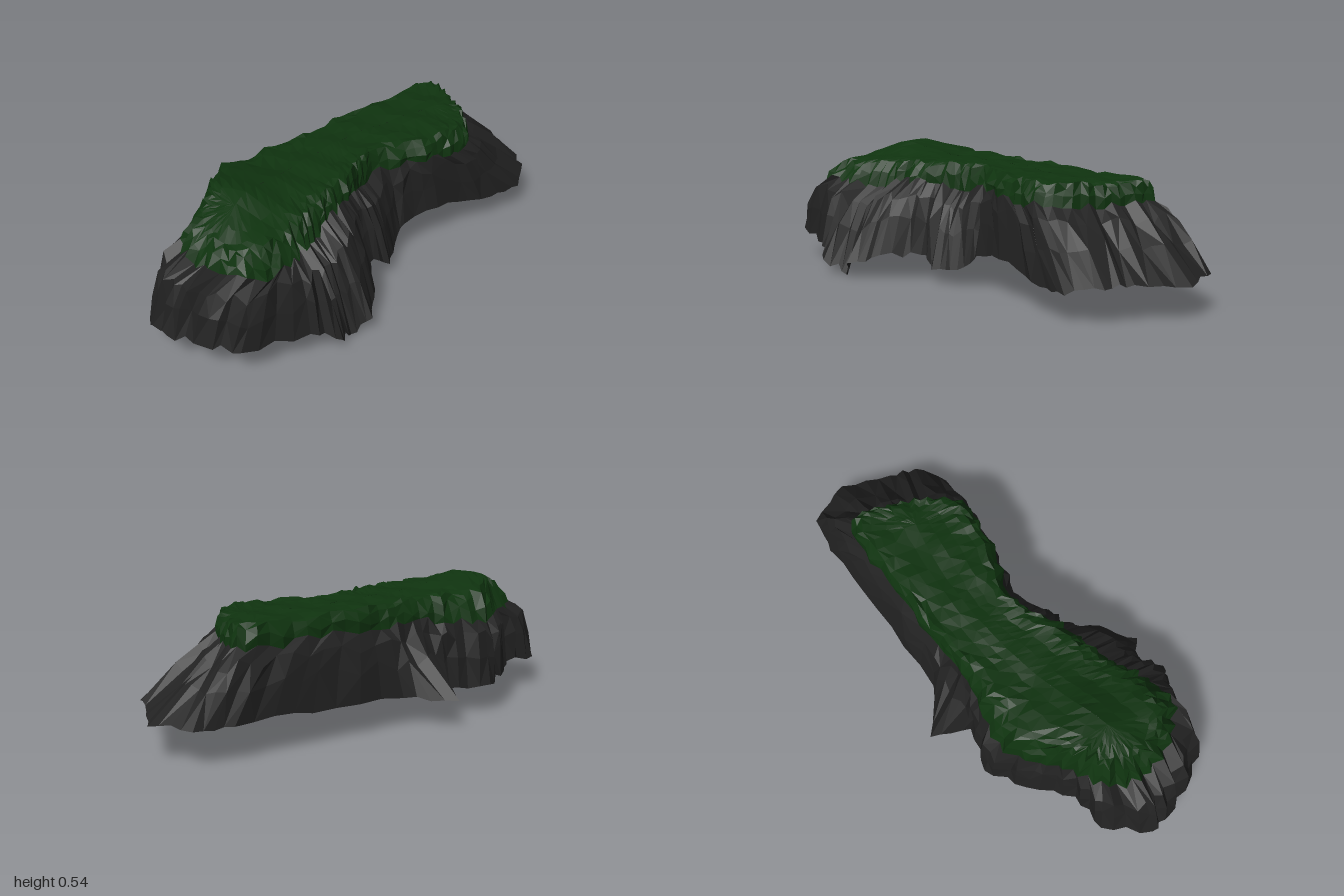
import * as THREE from 'three';

// Stations around the cliff: grass edge x, z, then cliff foot x, z, y
const STATIONS = [
  [0.67, -0.45, 0.88, -0.57, 0.14], [0.68, -0.34, 1.0, -0.4, 0.13], [0.66, -0.22, 0.95, -0.18, 0.15],
  [0.63, -0.1, 0.94, -0.06, 0.14], [0.56, 0.02, 0.84, 0.05, 0.11], [0.48, 0.045, 0.68, 0.065, 0.11],
  [0.36, 0.055, 0.44, 0.075, 0.16], [0.2, 0.045, 0.2, 0.1, 0.14], [0.04, 0.05, 0.12, 0.15, 0.07],
  [-0.03, 0.1, 0.05, 0.235, 0.065], [-0.1, 0.16, -0.05, 0.24, 0.11], [-0.18, 0.21, -0.12, 0.4, 0.11],
  [-0.25, 0.25, -0.2, 0.52, 0.07], [-0.33, 0.3, -0.28, 0.49, 0], [-0.4, 0.36, -0.36, 0.57, 0.06],
  [-0.48, 0.41, -0.48, 0.53, 0.11], [-0.59, 0.455, -0.77, 0.525, 0.13], [-0.71, 0.39, -0.88, 0.42, 0.13],
  [-0.8, 0.27, -0.97, 0.28, 0.12], [-0.82, 0.16, -1.0, 0.19, 0.12], [-0.78, 0.04, -0.9, 0.0, 0.13],
  [-0.68, -0.04, -0.74, -0.04, 0.13], [-0.6, -0.15, -0.62, -0.21, 0.13], [-0.46, -0.27, -0.48, -0.34, 0.12],
  [-0.29, -0.27, -0.29, -0.32, 0.12], [-0.14, -0.28, -0.25, -0.49, 0.11], [0.02, -0.33, -0.05, -0.39, 0.12],
  [0.25, -0.37, 0.38, -0.48, 0.13], [0.48, -0.43, 0.72, -0.565, 0.14],
];
const SUB = 4;
const N = STATIONS.length * SUB;

function seeded(seed) {
  return () => {
    seed = (seed * 16807) % 2147483647;
    return seed / 2147483647 * 2 - 1;
  };
}

// Closed skin through rows of N points, listed from inside/top to outside/bottom
function loft(rows) {
  const pos = rows.flatMap((row) => row.flatMap((p) => p.toArray()));
  const index = [];
  for (let r = 0; r < rows.length - 1; r++) {
    for (let i = 0; i < N; i++) {
      const j = (i + 1) % N;
      const a = r * N + i, b = r * N + j, c = a + N, d = b + N;
      if ((i + r) % 2) index.push(a, b, c, b, d, c);
      else index.push(a, b, d, a, d, c);
    }
  }
  const g = new THREE.BufferGeometry();
  g.setAttribute('position', new THREE.Float32BufferAttribute(pos, 3));
  g.setIndex(index);
  g.computeVertexNormals();
  return g;
}

// Rolling height of the grassy top: a knoll near the left, falling away beyond it
function groundHeight(x, z) {
  const knoll = 0.045 * Math.exp(-((x + 0.55) ** 2 + (z - 0.04) ** 2) / 0.025);
  const fall = 0.25 * Math.max(0, -x - 0.6) + 0.14 * Math.max(0, z - 0.12);
  return 0.488 - 0.012 * x + knoll - fall + 0.008 * Math.sin(23 * x + 7 * z) * Math.cos(27 * z - 6 * x);
}

function spinePoint(x) {
  const sx = THREE.MathUtils.clamp(x, -0.6, 0.52);
  return new THREE.Vector3(sx, 0, -0.13 - 0.29 * sx + 0.28 * sx * sx);
}

// How strongly the rock face bulges: below 1 is convex, above 1 flares at the foot
function bulge(foot) {
  if (foot.x > -0.3 && foot.x < -0.12 && foot.z < -0.36) return 1.7;
  if (foot.x > 0.72 && foot.z > -0.53) return 1;
  return foot.x < -0.4 ? 0.36 : 0.52;
}

export function createModel() {
  const rand = seeded(4711);
  const edgeCurve = new THREE.CatmullRomCurve3(STATIONS.map((s) => new THREE.Vector3(s[0], 0.4, s[1])), true);
  const feet = STATIONS.map((s) => new THREE.Vector3(s[2], s[4], s[3]));

  const cols = [];
  for (let i = 0; i < N; i++) {
    const s = Math.floor(i / SUB);
    const edge = edgeCurve.getPoint(i / N);
    const foot = feet[s].clone().lerp(feet[(s + 1) % feet.length], (i % SUB) / SUB);
    const spine = spinePoint(edge.x);
    const out = edge.clone().sub(spine).setY(0).normalize();
    const left = edge.x < -0.3;
    // tight pleats at the left end, broader irregular facets elsewhere
    const fold = left ? (i % 2 ? 0.01 : -0.01) + rand() * 0.008 : rand() * 0.012;
    edge.addScaledVector(out, fold);
    edge.y += rand() * 0.022 - (left ? 0.022 : 0);
    if (i % SUB) {
      foot.addScaledVector(out, fold * 0.8 - 0.004);
      foot.y = Math.max(0, foot.y + rand() * 0.015);
    }
    const rim = edge.clone().addScaledVector(out, (left ? -0.055 : -0.02) + rand() * 0.012);
    rim.y = groundHeight(rim.x, rim.z) - 0.012 + rand() * 0.02;
    cols.push({ edge, foot, rim, spine, out, fold });
  }

  // Grass: rings from the spine to the rim, then a ragged hem
  const grassRows = [0, 0.25, 0.5, 0.75, 0.9].map((t) => cols.map((c) => {
    const p = c.spine.clone().lerp(c.rim, t);
    p.y = groundHeight(p.x, p.z) + t * t * rand() * 0.008;
    return p;
  }));
  const hem = cols.map((c) => {
    const p = c.rim.clone().lerp(c.edge, 0.5).addScaledVector(c.out, 0.006 + rand() * 0.008);
    p.y += rand() * 0.012;
    return p;
  });
  grassRows.push(cols.map((c) => c.rim), hem, cols.map((c) => c.edge));

  // Rock: bulging sides, straight slope at the right-hand end
  const rockRows = [0, 0.2, 0.52, 1].map((t) => cols.map((c) => {
    const p = c.edge.clone().lerp(c.foot, t ** bulge(c.foot));
    p.y = THREE.MathUtils.lerp(c.edge.y, c.foot.y, t);
    if (t > 0 && t < 1) {
      p.addScaledVector(c.out, c.fold * 0.4 + rand() * 0.008);
      p.y += rand() * 0.02;
    }
    return p;
  }));

  const group = new THREE.Group();
  group.name = 'cliffPlateau';
  const add = (name, rows, color) => {
    const material = new THREE.MeshStandardMaterial({ color, flatShading: true, side: THREE.DoubleSide });
    const mesh = new THREE.Mesh(loft(rows), material);
    mesh.name = name;
    group.add(mesh);
  };
  add('grassTop', grassRows, 0x0f330f);
  add('rockSides', rockRows, 0x222222);
  return group;
}
